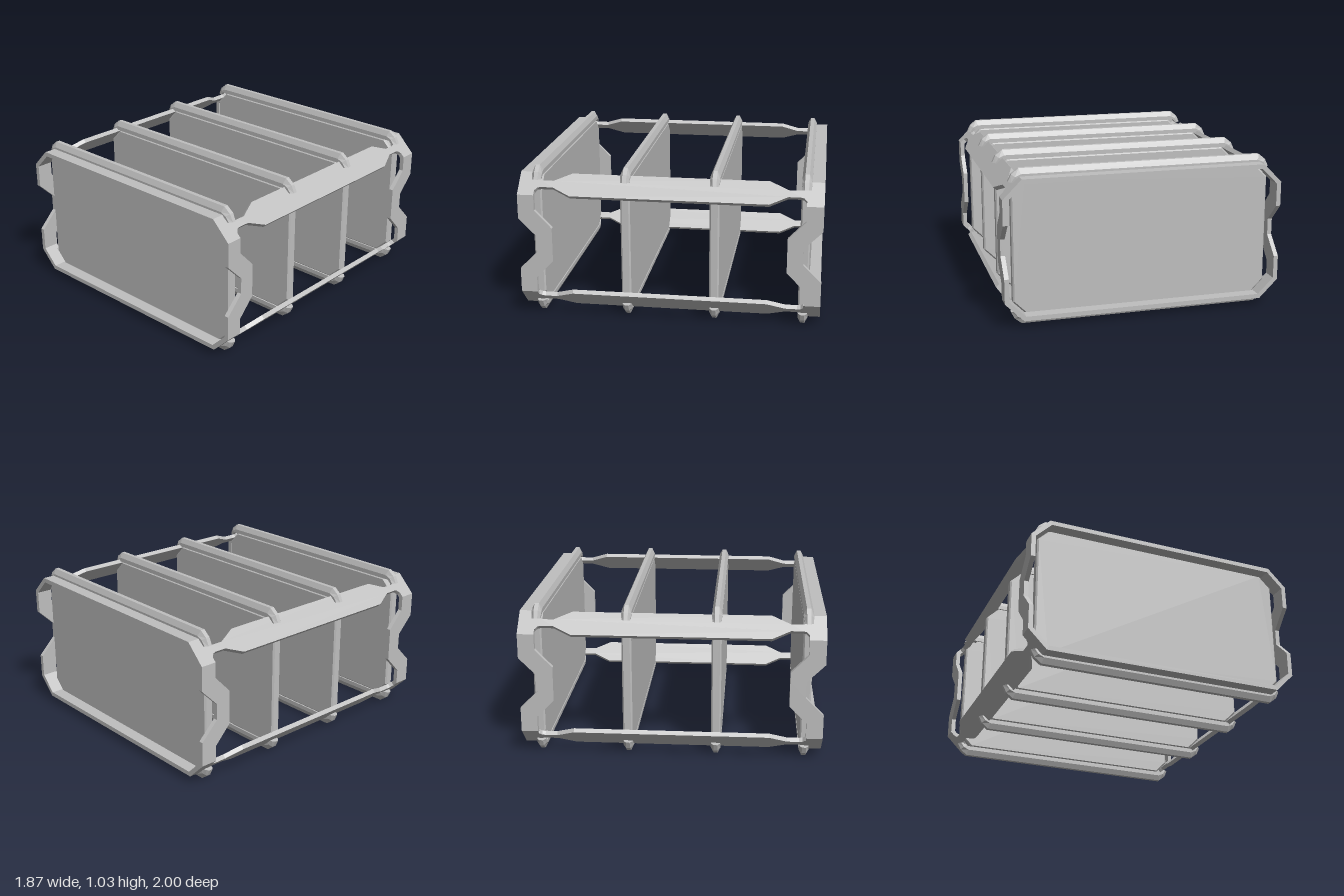
import * as THREE from 'three';

const MID = 0.515; // height of the centre line
const T = 0.03;    // plate thickness of the frame

// Joins equal-sized cross-sections into a flat-faced surface
function loft(sections, closed) {
  const pos = [];
  const tri = (a, b, c) => pos.push(...a, ...b, ...c);
  const n = sections[0].length;
  const count = closed ? sections.length : sections.length - 1;
  for (let i = 0; i < count; i++) {
    const a = sections[i], b = sections[(i + 1) % sections.length];
    for (let k = 0; k < n; k++) {
      const l = (k + 1) % n;
      tri(a[k], b[k], b[l]);
      tri(a[k], b[l], a[l]);
    }
  }
  if (!closed) {
    const first = sections[0], last = sections[sections.length - 1];
    for (let k = 1; k < n - 1; k++) {
      tri(first[0], first[k], first[k + 1]);
      tri(last[0], last[k + 1], last[k]);
    }
  }
  const g = new THREE.BufferGeometry();
  g.setAttribute('position', new THREE.Float32BufferAttribute(pos, 3));
  g.computeVertexNormals();
  return g;
}

// Octagonal end ring whose sides step inwards around a notch
function endRingGeometry() {
  // outer x, outer y, inner x, inner y, outer z, inner z
  const side = [
    [0.055, 0.88, 0.775], [0.115, 0.94, 0.775],
    [0.175, 1, 0.8325], [0.235, 1, 0.89],
  ].map(([y, zo, zi]) => [0.935, y, 0.935 - T, y, zo, zi]);
  const quarter = [...side,
    [0.935, 0.34, 0.905, 0.328, 1, 0.89],
    [0.81, 0.465, 0.798, 0.435, 1, 0.89]];
  const flip = (list, sx, sy) => list.map(([a, b, c, d, e, f]) => [a * sx, b * sy, c * sx, d * sy, e, f]);
  const back = [...quarter].reverse();
  const loop = [...quarter, ...flip(back, -1, 1), ...flip(quarter, -1, -1), ...flip(back, 1, -1)];
  return loft(loop.map(([ox, oy, ix, iy, zo, zi]) =>
    [[ox, oy, zi], [ox, oy, zo], [ix, iy, zo], [ix, iy, zi]]), true);
}

// Corner rail plate, wide in the middle and necked towards the rings
function cornerRailGeometry() {
  const edge = [[0.055, 0.91], [0.05, 0.888], [0.03, 0.872], [0.025, 0.85], [0.025, 0.77], [0.085, 0.65]];
  const right = [...edge, ...edge.map(([s, z]) => [s, -z]).reverse()];
  const left = right.map(([s, z]) => [-s, z]).reverse();
  const shape = new THREE.Shape([...right, ...left].map(([s, z]) => new THREE.Vector2(s, z)));
  const g = new THREE.ExtrudeGeometry(shape, { depth: T, bevelEnabled: false });
  const r = Math.SQRT1_2;
  const m = new THREE.Matrix4().makeBasis(
    new THREE.Vector3(r, -r, 0), new THREE.Vector3(0, 0, 1), new THREE.Vector3(-r, -r, 0));
  m.setPosition(0.8725, 0.4025, 0);
  return g.applyMatrix4(m);
}

// Divider slab with clipped corners and a fine edge bevel
function panelGeometry() {
  const x = 0.867, y = 0.45, c = 0.087;
  const pts = [[x, -y + c], [x, y - c], [x - c, y], [-x + c, y], [-x, y - c], [-x, -y + c], [-x + c, -y], [x - c, -y]];
  const shape = new THREE.Shape(pts.map(([a, b]) => new THREE.Vector2(a, b)));
  const g = new THREE.ExtrudeGeometry(shape, {
    depth: 0.045, bevelThickness: 0.01, bevelSize: 0.01, bevelOffset: -0.01, bevelSegments: 1,
  });
  return g.translate(0, 0, -0.0225);
}

// Ridged cap along the panel edge, hooked down over the corners
function capGeometry() {
  // ridge x, ridge y, base x, base y, width factor
  const half = [
    [0.88, 0.43, 0.845, 0.425, 0.9],
    [0.857, 0.478, 0.82, 0.45, 1],
    [0.81, 0.515, 0.79, 0.45, 1],
  ];
  const path = [...half.map(([a, b, c, d, w]) => [-a, b, -c, d, w]), ...[...half].reverse()];
  return loft(path.map(([rx, ry, bx, by, w]) => {
    const sx = rx + (bx - rx) * 0.55, sy = ry + (by - ry) * 0.55;
    const n = 0.014 * w, f = 0.033 * w;
    return [[rx, ry, n], [rx, ry, -n], [sx, sy, -f], [bx, by, -f], [bx, by, f], [sx, sy, f]];
  }), false);
}

export function createModel() {
  const model = new THREE.Group();
  model.name = 'dividerRack';
  const body = new THREE.Group();
  body.name = 'rackBody';
  body.position.y = MID;
  model.add(body);

  const grey = new THREE.MeshStandardMaterial({ color: 0xbfbfbf });
  grey.name = 'grey';

  const add = (name, geometry, z = 0, rotation = [0, 0, 0]) => {
    const mesh = new THREE.Mesh(geometry, grey);
    mesh.name = name;
    mesh.position.z = z;
    mesh.rotation.set(...rotation);
    body.add(mesh);
  };

  // End rings
  const ring = endRingGeometry();
  add('frontRing', ring);
  add('backRing', ring, 0, [0, Math.PI, 0]);

  // Four corner rails
  const rail = cornerRailGeometry();
  add('topLeftRail', rail);
  add('topRightRail', rail, 0, [0, Math.PI, 0]);
  add('bottomRightRail', rail, 0, [0, 0, Math.PI]);
  add('bottomLeftRail', rail, 0, [Math.PI, 0, 0]);

  // Dividers with a cap above and below
  const panel = panelGeometry(), cap = capGeometry();
  [0.885, 0.295, -0.295, -0.885].forEach((z, i) => {
    add(`panel${i + 1}`, panel, z);
    add(`topCap${i + 1}`, cap, z);
    add(`bottomCap${i + 1}`, cap, z, [0, 0, Math.PI]);
  });
  return model;
}
